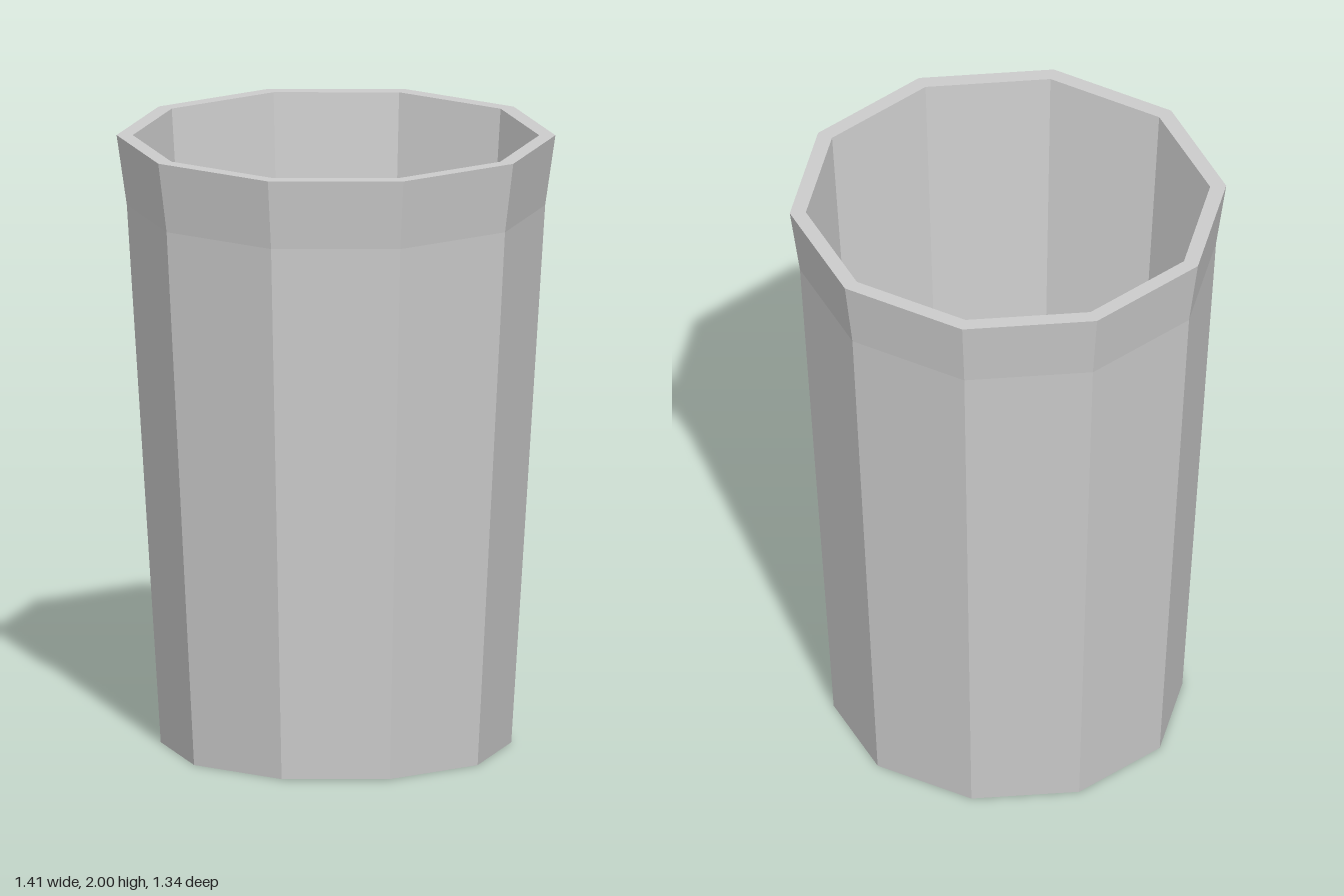
import * as THREE from 'three';

const SIDES = 10;

// Revolves [radius, height] points into a ten-sided faceted surface with corners on the x axis
function facetedLathe(name, profile, material) {
  const points = profile.map(([r, y]) => new THREE.Vector2(r, y));
  const mesh = new THREE.Mesh(new THREE.LatheGeometry(points, SIDES, Math.PI / 2), material);
  mesh.name = name;
  return mesh;
}

export function createModel() {
  const model = new THREE.Group();
  model.name = 'cup';
  const material = new THREE.MeshStandardMaterial({ color: 0xcccccc, flatShading: true });

  // Base and tapered outer wall, flaring towards the lip
  model.add(facetedLathe('outerWall', [[0, 0], [0.563, 0], [0.672, 1.77], [0.705, 2]], material));

  // Flat lip around the opening
  model.add(facetedLathe('rim', [[0.705, 2], [0.653, 2]], material));

  // Straight inner wall down to the inside floor
  model.add(facetedLathe('innerWall', [[0.653, 2], [0.513, 0.05]], material));
  model.add(facetedLathe('innerFloor', [[0.513, 0.05], [0, 0.05]], material));

  return model;
}
